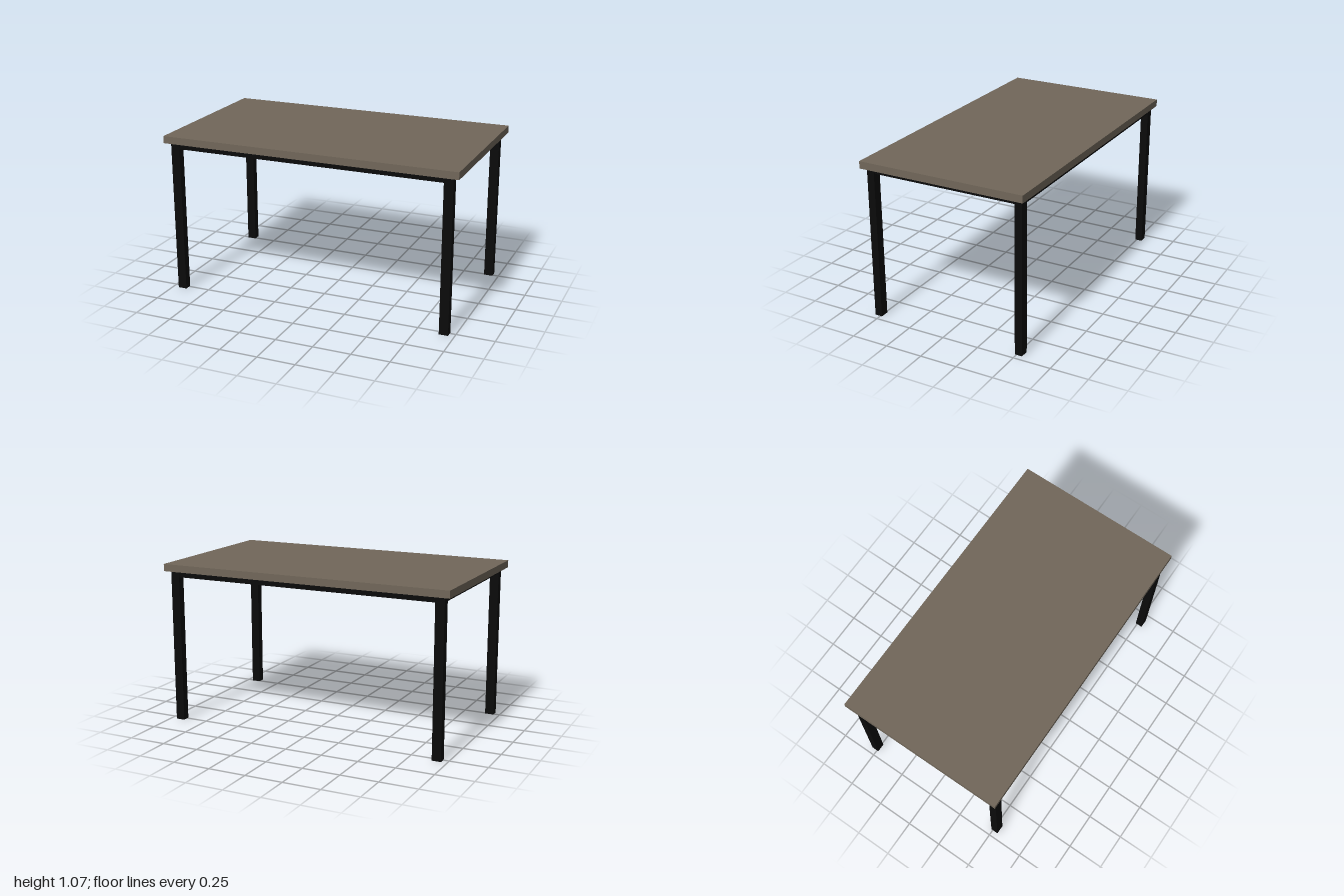
import * as THREE from 'three';

export function createModel() {
  const model = new THREE.Group();
  model.name = 'table';

  const wood = new THREE.MeshStandardMaterial({ color: 0x71675a });
  wood.name = 'grey brown wood';
  const metal = new THREE.MeshStandardMaterial({ color: 0x0b0b0b });
  metal.name = 'black metal';

  // Adds a box given its size, the height of its base and its plan position
  function addBox(name, material, [w, h, d], base, x = 0, z = 0) {
    const mesh = new THREE.Mesh(new THREE.BoxGeometry(w, h, d), material);
    mesh.name = name;
    mesh.position.set(x, base + h / 2, z);
    model.add(mesh);
  }

  const legX = 0.93, legZ = 0.514;
  const legHeight = 1.02, topBase = 1.024, railBase = 0.986;

  // Slab top
  addBox('tableTop', wood, [2, 0.048, 1.128], topBase);

  // Four legs, joined by rails centred on them just under the top
  for (const s of [-1, 1]) {
    const side = s > 0 ? 'left' : 'right';
    const end = s > 0 ? 'front' : 'back';
    addBox(side + 'FrontLeg', metal, [0.06, legHeight, 0.05], 0, s * legX, legZ);
    addBox(side + 'BackLeg', metal, [0.06, legHeight, 0.05], 0, s * legX, -legZ);
    addBox(end + 'Rail', metal, [2 * legX, topBase - railBase, 0.04], railBase, 0, s * legZ);
    addBox(side + 'Rail', metal, [0.04, topBase - railBase, 2 * legZ], railBase, s * legX, 0);
  }

  return model;
}
